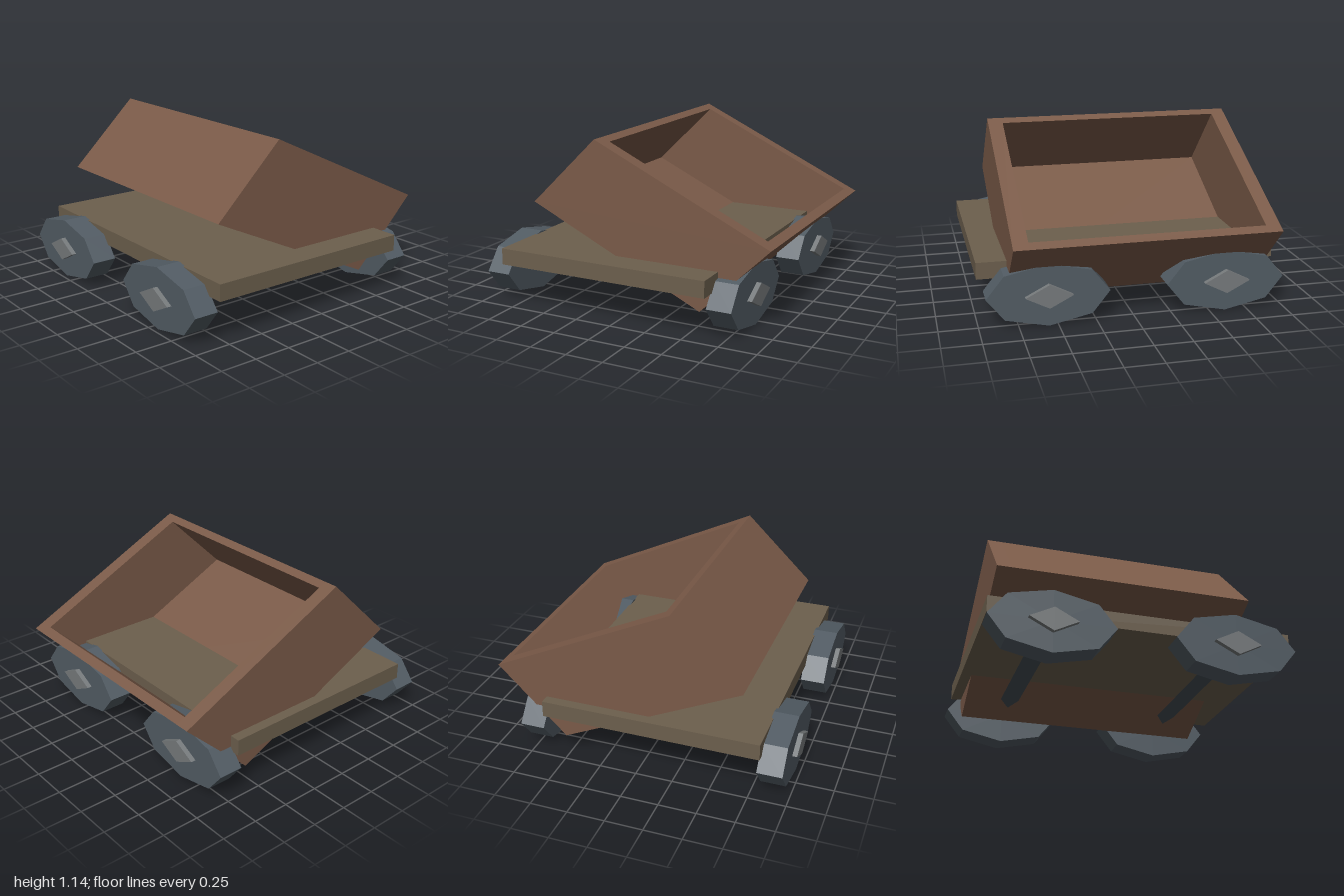
import * as THREE from 'three';

const mat = (color, extra = {}) => new THREE.MeshStandardMaterial({ color, flatShading: true, ...extra });
const MATS = {
  bin: mat(0x7a5a48),
  deck: mat(0x6c5f4d),
  wheel: mat(0x525c64),
  hub: mat(0x767a7c),
  axle: mat(0x424b53),
};

// Prism along x with an elliptical, few-sided cross-section (corners on the axes)
function xPrism(name, material, sides, x0, x1, y, z, ry, rz) {
  const geo = new THREE.CylinderGeometry(1, 1, 1, sides);
  geo.rotateZ(Math.PI / 2);
  geo.scale(x1 - x0, ry, rz);
  const mesh = new THREE.Mesh(geo, material);
  mesh.name = name;
  mesh.position.set((x0 + x1) / 2, y, z);
  return mesh;
}

// Outline in the xy plane, extruded from z0 to z1
function slab(name, material, points, z0, z1) {
  const shape = new THREE.Shape(points.map(([x, y]) => new THREE.Vector2(x, y)));
  const geo = new THREE.ExtrudeGeometry(shape, { depth: z1 - z0, bevelEnabled: false });
  geo.translate(0, 0, z0);
  const mesh = new THREE.Mesh(geo, material);
  mesh.name = name;
  return mesh;
}

export function createModel() {
  const model = new THREE.Group();
  model.name = 'tippingCart';

  // Flat deck
  const deck = new THREE.Mesh(new THREE.BoxGeometry(1.47, 0.11, 1.975), MATS.deck);
  deck.name = 'deck';
  deck.position.set(-0.08, 0.345, 0.008);
  model.add(deck);

  // Tipped bin: a skewed trough closed by two end panels
  const bin = new THREE.Group();
  bin.name = 'bin';
  const outer = [[-0.68, 0.69], [0.53, 0.12], [0.995, 0.575], [-0.21, 1.145]];
  const inner = [[-0.155, 1.119], [-0.584, 0.699], [0.506, 0.183], [0.935, 0.603]];
  const trough = [outer[3], outer[0], outer[1], outer[2], inner[3], inner[2], inner[1], inner[0]];
  bin.add(
    slab('binTrough', MATS.bin, trough, -0.815, 0.70),
    slab('binFrontPanel', MATS.bin, outer, 0.70, 0.80),
    slab('binBackPanel', MATS.bin, outer, -0.91, -0.815),
  );
  model.add(bin);

  // Front and back axles, each with two wheels and hubs
  const y = 0.208;
  for (const [label, z] of [['front', 0.56], ['back', -0.605]]) {
    model.add(
      xPrism(label + 'Axle', MATS.axle, 4, -0.81, 0.66, y, z, 0.033, 0.063),
      xPrism(label + 'RightWheel', MATS.wheel, 8, -0.968, -0.802, y, z, 0.205, 0.395),
      xPrism(label + 'RightHub', MATS.hub, 4, -1.0, -0.95, y, z, 0.078, 0.152),
      xPrism(label + 'LeftWheel', MATS.wheel, 8, 0.646, 0.812, y, z, 0.205, 0.395),
      xPrism(label + 'LeftHub', MATS.hub, 4, 0.79, 0.845, y, z, 0.078, 0.152),
    );
  }
  return model;
}
